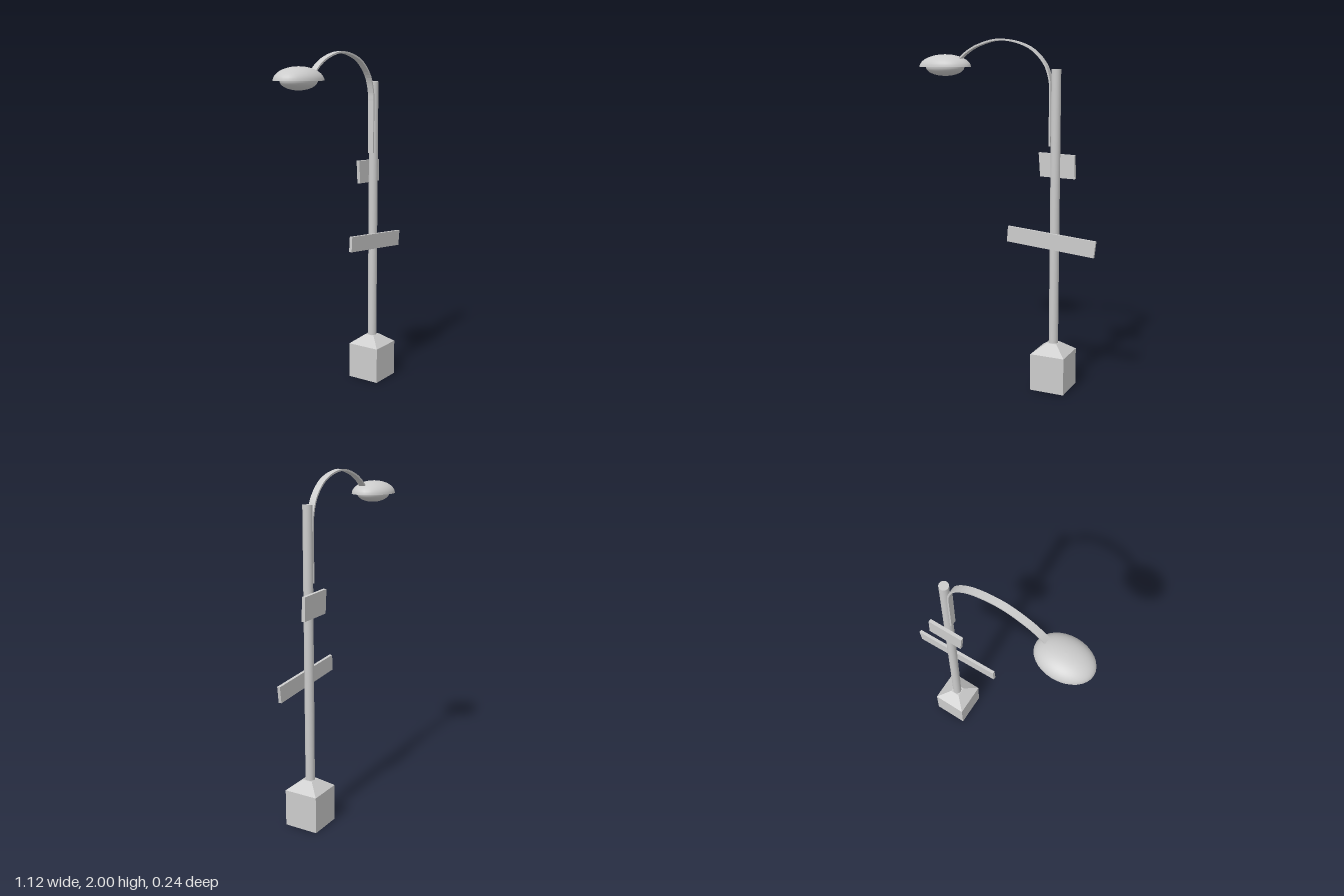
import * as THREE from 'three';

const POLE_X = 0.3, POLE_Z = 0.012;

export function createModel() {
  const group = new THREE.Group();
  const mat = new THREE.MeshStandardMaterial({ color: 0xcccccc, side: THREE.DoubleSide });

  const add = (name, geometry, x = 0, y = 0, z = 0) => {
    const mesh = new THREE.Mesh(geometry, mat);
    mesh.name = name;
    mesh.position.set(x, y, z);
    group.add(mesh);
    return mesh;
  };

  // Outline in the xy plane, given depth from z0 to z1
  const slab = (name, points, z0, z1) => {
    const shape = new THREE.Shape(points.map(([x, y]) => new THREE.Vector2(x, y)));
    return add(name, new THREE.ExtrudeGeometry(shape, { depth: z1 - z0, bevelEnabled: false }), 0, 0, z0);
  };

  // Square footing with a sloped top
  add('footing', new THREE.BoxGeometry(0.204, 0.216, 0.204), POLE_X, 0.108, POLE_Z);
  const slope = new THREE.CylinderGeometry(0.03 * Math.SQRT2, 0.102 * Math.SQRT2, 0.055, 4).toNonIndexed();
  slope.rotateY(Math.PI / 4);
  slope.computeVertexNormals();
  add('footingSlope', slope, POLE_X, 0.2435, POLE_Z);

  // Round pole
  add('pole', new THREE.CylinderGeometry(0.027, 0.027, 1.58, 20), POLE_X, 1.041, POLE_Z);

  // Slightly crooked sign boards, one in front of the pole and one behind
  slab('lowerSign', [[0.019, 0.852], [0.545, 0.803], [0.556, 0.896], [0.026, 0.942]], 0.03, 0.048);
  slab('upperSign', [[0.198, 1.232], [0.407, 1.227], [0.402, 1.36], [0.188, 1.368]], -0.034, -0.014);

  // Flat strap arm: straight up the pole, then bowed over to the lamp
  const bow = new THREE.CatmullRomCurve3([
    [0.271, 1.72], [0.267, 1.77], [0.235, 1.86], [0.14, 1.95], [-0.035, 1.994],
    [-0.177, 1.963], [-0.25, 1.924], [-0.294, 1.887],
  ].map(([x, y]) => new THREE.Vector3(x, y, 0)));
  const centre = [new THREE.Vector3(0.271, 1.41, 0), ...bow.getPoints(40)];
  const inner = [], outer = [];
  centre.forEach((p, i) => {
    const a = centre[Math.max(i - 1, 0)], b = centre[Math.min(i + 1, centre.length - 1)];
    const dir = b.clone().sub(a).normalize().multiplyScalar(0.005);
    inner.push([p.x - dir.y, p.y + dir.x]);
    outer.push([p.x + dir.y, p.y - dir.x]);
  });
  slab('arm', [...outer, ...inner.reverse()], -0.006, 0.032);

  // Oval lamp: domed shade with a flat rim underneath, and a shallow bowl
  const lamp = new THREE.Group();
  lamp.name = 'lamp';
  lamp.position.set(-0.4, 1.842, 0);
  lamp.scale.z = 0.74;
  group.add(lamp);

  const quarter = (radius, height) => Array.from({ length: 13 }, (_, i) => {
    const t = (i / 12) * Math.PI / 2;
    return new THREE.Vector2(radius * Math.cos(t), height * Math.sin(t));
  });
  const lampPart = (name, geometry) => lamp.add(add(name, geometry));
  lampPart('lampShade', new THREE.LatheGeometry(quarter(0.159, 0.074), 32));
  lampPart('lampRim', new THREE.RingGeometry(0.1, 0.159, 32).rotateX(Math.PI / 2));
  lampPart('lampBowl', new THREE.LatheGeometry(quarter(0.118, -0.05).reverse(), 32));

  return group;
}
